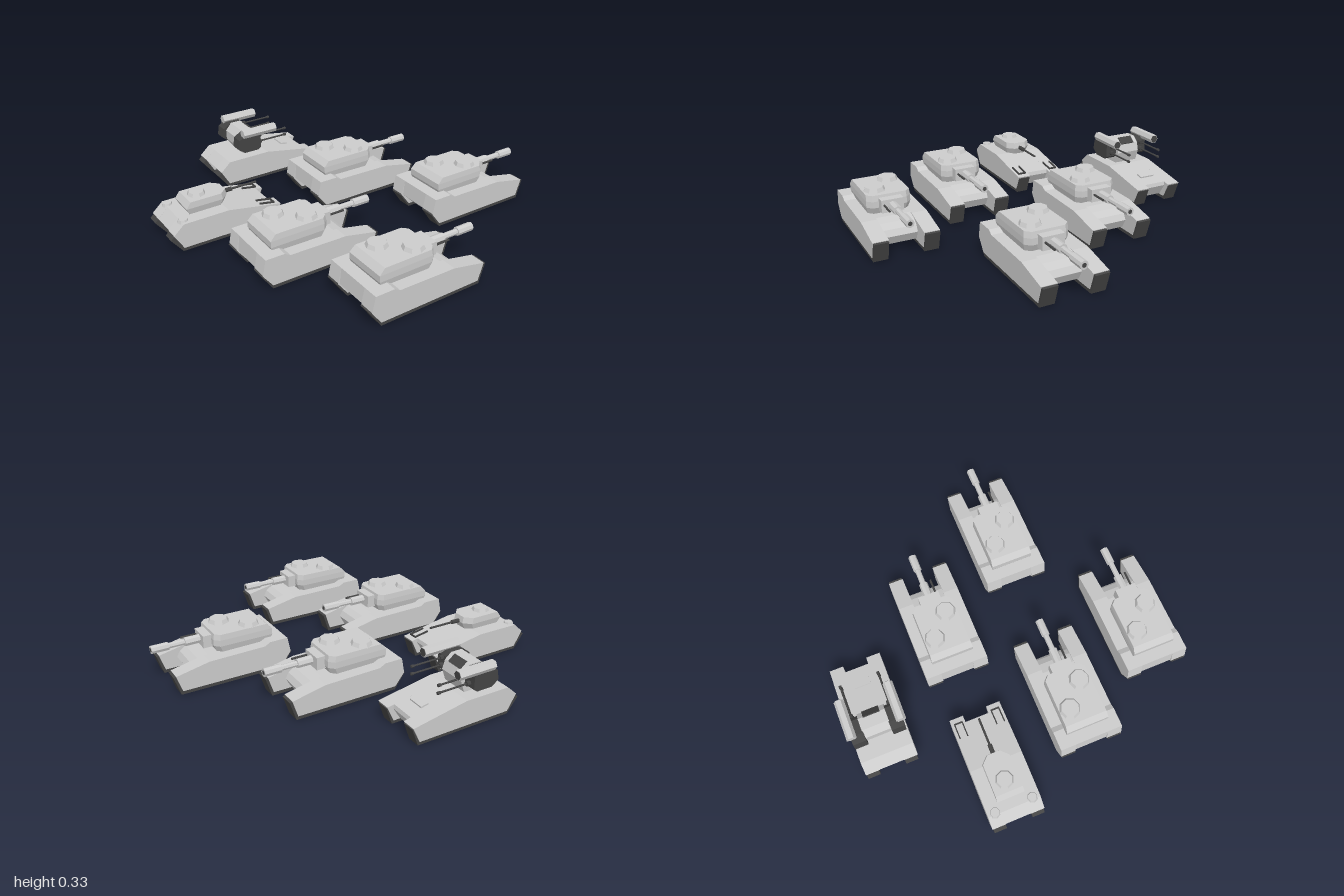
import * as THREE from 'three';
import { ConvexGeometry } from 'three/addons/geometries/ConvexGeometry.js';

const grey = new THREE.MeshStandardMaterial({ color: 0xcccccc, flatShading: true });
const dark = new THREE.MeshStandardMaterial({ color: 0x444444, flatShading: true });

function add(group, name, geometry, x = 0, y = 0, z = 0, material = grey) {
  const mesh = new THREE.Mesh(geometry, material);
  mesh.name = name;
  mesh.position.set(x, y, z);
  group.add(mesh);
  return mesh;
}

// Side profile (x, y) extruded from z0 to z1
function slab(group, name, profile, z0, z1, material = grey) {
  const shape = new THREE.Shape(profile.map(([x, y]) => new THREE.Vector2(x, y)));
  const geometry = new THREE.ExtrudeGeometry(shape, { depth: z1 - z0, bevelEnabled: false });
  add(group, name, geometry, 0, 0, z0, material);
}

// Rod along x, from x0 to x1
function rod(group, name, x0, x1, y, z, r, material = grey, sides = 8) {
  const geometry = new THREE.CylinderGeometry(r, r, x1 - x0, sides).rotateZ(-Math.PI / 2);
  add(group, name, geometry, (x0 + x1) / 2, y, z, material);
}

function hatch(group, name, x, y, z, r, h) {
  add(group, name, new THREE.CylinderGeometry(r * 0.8, r, h, 8), x, y + h / 2, z);
}

// Faceted turret shell: rings of [y, rear x, front x, half width, corner cut]
function shell(group, rings) {
  const points = [];
  for (const [y, rear, front, w, cut] of rings) {
    for (const s of [-1, 1]) {
      points.push(new THREE.Vector3(rear, y, s * w),
        new THREE.Vector3(front - cut, y, s * w),
        new THREE.Vector3(front, y, s * (w - cut)));
    }
  }
  add(group, 'turret', new ConvexGeometry(points));
}

// Chassis shared by all tanks: central body, two fenders, two tracks
function chassis(group, { body, fender, track, inner, outer, inset }) {
  slab(group, 'hullBody', body, -inner - 0.002, inner + 0.002);
  for (const s of [-1, 1]) {
    const span = (a, b) => (s > 0 ? [a, b] : [-b, -a]);
    slab(group, s > 0 ? 'leftFender' : 'rightFender', fender, ...span(inner, outer));
    slab(group, s > 0 ? 'leftTrack' : 'rightTrack', track, ...span(inner + inset, outer - inset), dark);
  }
}

function battleTank() {
  const g = new THREE.Group();
  g.name = 'battleTank';
  chassis(g, {
    inner: 0.093, outer: 0.178, inset: 0.003,
    body: [[-0.315, 0.175], [-0.21, 0.175], [-0.18, 0.157], [0.12, 0.152], [0.175, 0.138],
      [0.21, 0.113], [0.228, 0.08], [0.2, 0.03], [-0.26, 0.03], [-0.325, 0.09]],
    fender: [[-0.315, 0.175], [-0.21, 0.175], [-0.18, 0.157], [0.14, 0.152], [0.328, 0.113],
      [0.298, 0.02], [-0.28, 0.02], [-0.333, 0.09]],
    track: [[-0.339, 0.088], [-0.3, 0.12], [0.3, 0.115], [0.341, 0.107], [0.307, 0], [-0.279, 0]],
  });
  shell(g, [
    [0.147, -0.235, 0.06, 0.11, 0.025],
    [0.19, -0.252, 0.08, 0.12, 0.028],
    [0.225, -0.252, 0.08, 0.12, 0.028],
    [0.257, -0.222, 0.074, 0.117, 0.027],
  ]);
  hatch(g, 'rearHatch', -0.14, 0.252, -0.058, 0.061, 0.026);
  hatch(g, 'frontHatch', -0.012, 0.252, 0.053, 0.061, 0.026);
  // Main gun with mantlet, sleeve and muzzle
  add(g, 'mantlet', new THREE.BoxGeometry(0.065, 0.07, 0.12), 0.093, 0.208, 0);
  rod(g, 'gunSleeve', 0.12, 0.21, 0.208, 0, 0.025);
  rod(g, 'gunBarrel', 0.2, 0.31, 0.208, 0, 0.016);
  rod(g, 'muzzle', 0.3, 0.394, 0.208, 0, 0.023);
  rod(g, 'muzzleBore', 0.38, 0.395, 0.208, 0, 0.012, dark);
  rod(g, 'coaxialGun', 0.12, 0.215, 0.215, 0.045, 0.006, dark, 6);
  return g;
}

// Smaller chassis used by the scout and the anti-air tank
function lightChassis(g) {
  chassis(g, {
    inner: 0.068, outer: 0.147, inset: 0.005,
    body: [[-0.255, 0.158], [0.0, 0.16], [0.27, 0.112], [0.275, 0.09], [0.235, 0.025],
      [-0.24, 0.025], [-0.312, 0.105]],
    fender: [[-0.255, 0.158], [0.0, 0.16], [0.31, 0.105], [0.27, 0.02], [-0.265, 0.02], [-0.314, 0.105]],
    track: [[-0.332, 0.082], [-0.312, 0.1], [0.28, 0.1], [0.312, 0.097], [0.277, 0], [-0.27, 0]],
  });
}

function scoutTank() {
  const g = new THREE.Group();
  g.name = 'scoutTank';
  lightChassis(g);
  shell(g, [
    [0.152, -0.185, 0.02, 0.066, 0.035],
    [0.195, -0.205, 0.042, 0.077, 0.04],
    [0.23, -0.18, 0.035, 0.075, 0.04],
  ]);
  hatch(g, 'cupola', -0.115, 0.226, 0, 0.052, 0.022);
  rod(g, 'gunSleeve', 0.02, 0.09, 0.198, 0, 0.012, dark);
  rod(g, 'gunBarrel', 0.08, 0.24, 0.198, 0, 0.006, dark);
  for (const s of [-1, 1]) {
    hatch(g, 'rearDeckHatch', -0.243, 0.15, s * 0.105, 0.03, 0.018);
    // U-shaped guards on the front fenders
    const guard = new THREE.Group();
    guard.name = 'fenderGuard';
    guard.position.set(0.235, 0.122, s * 0.107);
    guard.rotation.z = -0.17;
    for (const dz of [-0.022, 0.022]) {
      add(guard, 'guardRail', new THREE.BoxGeometry(0.09, 0.012, 0.006), 0, 0, dz, dark);
    }
    add(guard, 'guardBar', new THREE.BoxGeometry(0.006, 0.012, 0.044), 0.042, 0, 0, dark);
    g.add(guard);
  }
  return g;
}

function antiAirTank() {
  const g = new THREE.Group();
  g.name = 'antiAirTank';
  lightChassis(g);
  const noseHatch = add(g, 'noseHatch', new THREE.BoxGeometry(0.045, 0.014, 0.09), 0.172, 0.131, 0);
  noseHatch.rotation.z = -0.175;
  // Central turret with a sight slot
  slab(g, 'turret', [[-0.13, 0.155], [-0.165, 0.21], [-0.165, 0.265], [-0.13, 0.305], [-0.065, 0.305],
    [-0.03, 0.275], [-0.015, 0.225], [-0.04, 0.155]], -0.074, 0.074);
  const slot = add(g, 'sightSlot', new THREE.BoxGeometry(0.05, 0.018, 0.092), -0.051, 0.287, 0, dark);
  slot.rotation.z = -0.7;
  for (const s of [-1, 1]) {
    const z = s * 0.106;
    // Gun housing, twin barrels with muzzle collars, and a missile tube above
    slab(g, 'gunHousing', [[-0.15, 0.19], [-0.19, 0.22], [-0.18, 0.275], [-0.14, 0.3], [-0.06, 0.3],
      [-0.04, 0.28], [-0.04, 0.205], [-0.06, 0.19]], z - 0.036, z + 0.036, dark);
    for (const y of [0.268, 0.226]) {
      rod(g, 'barrelCollar', -0.045, -0.02, y, z, 0.014, dark);
      rod(g, 'antiAirBarrel', -0.04, 0.145, y, z, 0.005, dark, 6);
      rod(g, 'barrelTip', 0.135, 0.152, y, z, 0.008, dark, 6);
    }
    rod(g, 'missileTube', -0.155, 0.062, 0.309, s * 0.135, 0.027, grey, 6);
    rod(g, 'tubeMouth', 0.05, 0.064, 0.309, s * 0.135, 0.023, dark, 6);
  }
  return g;
}

export function createModel() {
  const model = new THREE.Group();
  model.name = 'tankFormation';
  const place = (tank, x, z) => {
    tank.position.set(x, 0, z);
    model.add(tank);
  };
  for (const [x, z] of [[0.203, -0.275], [-0.434, 0.245], [0.605, 0.245], [-0.172, 0.765]]) {
    place(battleTank(), x, z);
  }
  place(scoutTank(), -0.668, -0.273);
  place(antiAirTank(), -0.152, -0.79);
  return model;
}
